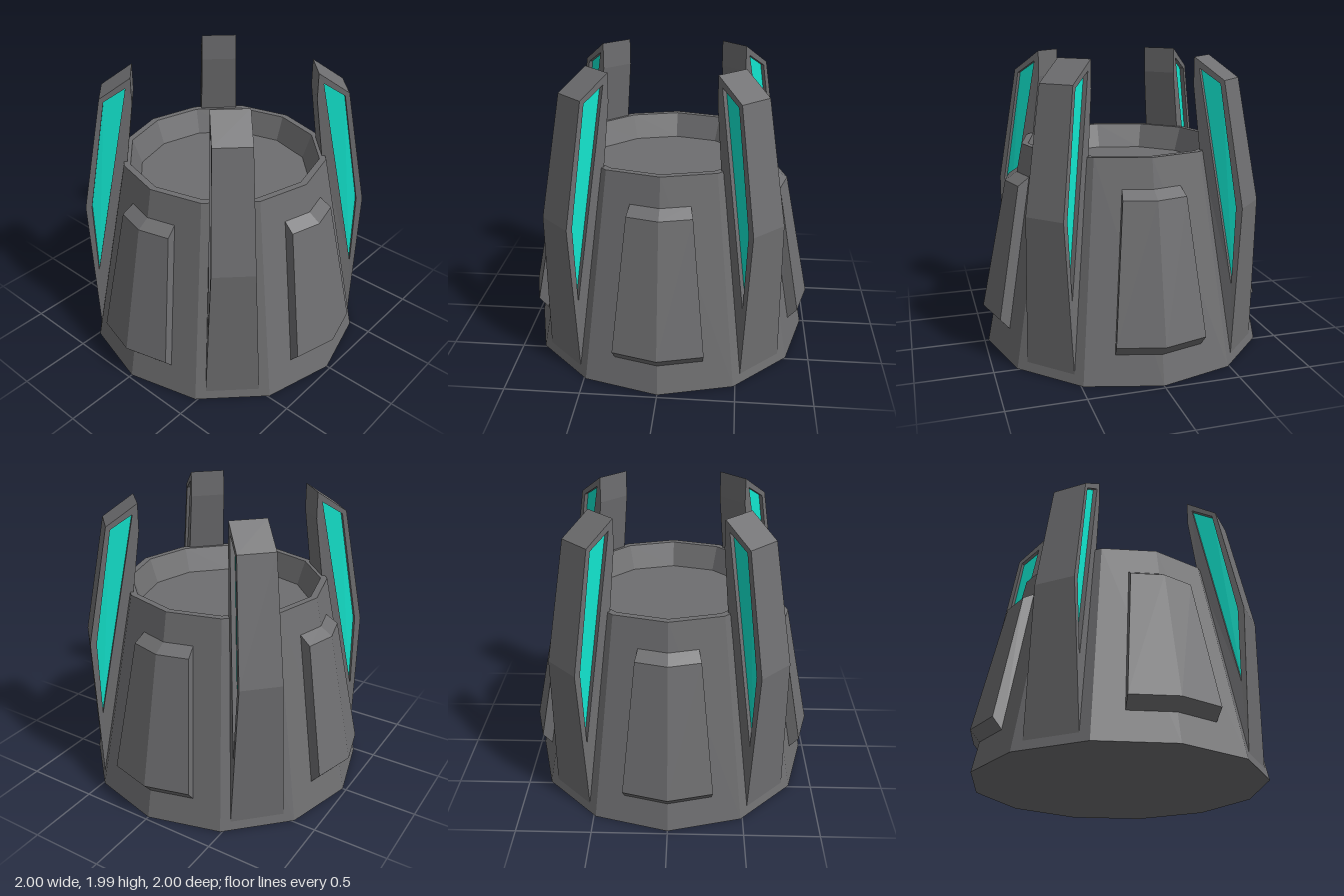
import * as THREE from 'three';

const hull = new THREE.MeshStandardMaterial({ name: 'darkGrey', color: 0x6e6e70, flatShading: true });
const glow = new THREE.MeshStandardMaterial({ name: 'teal', color: 0x11e3cc, flatShading: true });

const points = (list) => list.map(([x, y]) => new THREE.Vector2(x, y));

// Half width of a fin at a given height: it flares towards the foot.
function finHalfWidth(y) {
  if (y > 1.85) return 0.12;
  if (y > 1.05) return THREE.MathUtils.mapLinear(y, 1.05, 1.85, 0.138, 0.12);
  return THREE.MathUtils.mapLinear(y, 0.06, 1.05, 0.18, 0.138);
}

// Extrudes a side profile (radius, height) to the fin's width, less an inset.
function finSlab(shape, inset) {
  const geo = new THREE.ExtrudeGeometry(shape, { depth: 1, bevelEnabled: false });
  const pos = geo.attributes.position;
  for (let i = 0; i < pos.count; i++) {
    const side = pos.getZ(i) > 0.5 ? 1 : -1;
    pos.setZ(i, side * (finHalfWidth(pos.getY(i)) - inset));
  }
  geo.computeVertexNormals();
  return geo;
}

// Raised plate that wraps around one corner of the twelve-sided body.
function plateGeometry() {
  const rows = [[0.19, 0.285, 0.93], [0.27, 0.295, 1.0], [1.155, 0.208, 0.815], [1.21, 0.19, 0.73]];
  const slope = Math.tan(Math.PI / 12);
  const p = rows.map(([y, w, r]) => [-w, 0, w].map((x) => [x, y, r - Math.abs(x) * slope]));
  const verts = [];
  const quad = (a, b, c, d) => verts.push(...a, ...b, ...c, ...a, ...c, ...d);
  for (let i = 0; i < 3; i++) {
    for (let j = 0; j < 2; j++) quad(p[i][j], p[i][j + 1], p[i + 1][j + 1], p[i + 1][j]);
  }
  quad(p[0][2], p[3][2], p[2][2], p[1][2]);
  quad(p[0][0], p[1][0], p[2][0], p[3][0]);
  const geo = new THREE.BufferGeometry();
  geo.setAttribute('position', new THREE.Float32BufferAttribute(verts, 3));
  geo.computeVertexNormals();
  return geo;
}

export function createModel() {
  const model = new THREE.Group();
  model.name = 'finnedContainer';
  const add = (parent, name, geo, mat) => {
    const mesh = new THREE.Mesh(geo, mat);
    mesh.name = name;
    parent.add(mesh);
    return mesh;
  };

  // Tapered body with a rim and a sunken top
  const profile = points([[0, 0], [0.975, 0], [0.695, 1.4], [0.65, 1.4], [0.59, 1.23], [0, 1.23]]);
  add(model, 'body', new THREE.LatheGeometry(profile, 12), hull);

  // Four raised plates on the axes
  const plate = plateGeometry();
  for (let i = 0; i < 4; i++) add(model, 'plate', plate, hull).rotation.y = (i * Math.PI) / 2;

  // Four diagonal fins, each a frame around a recessed teal light
  const window = [[0.63, 1.92], [0.775, 1.83], [0.915, 1.05], [0.91, 0.53]];
  const frameShape = new THREE.Shape(points([
    [0.594, 1.99], [0.594, 1.81], [0.65, 1.4], [0.66, 0.9], [0.93, 0.06], [0.958, 1.05], [0.802, 1.85],
  ]));
  frameShape.holes.push(new THREE.Path(points(window)));
  const frame = finSlab(frameShape, 0);
  const core = finSlab(new THREE.Shape(points(window)), 0.03);
  for (let i = 0; i < 4; i++) {
    const fin = new THREE.Group();
    fin.name = 'fin';
    add(fin, 'finFrame', frame, hull);
    add(fin, 'finLight', core, [glow, hull]);
    fin.rotation.y = Math.PI / 4 + (i * Math.PI) / 2;
    model.add(fin);
  }
  return model;
}
